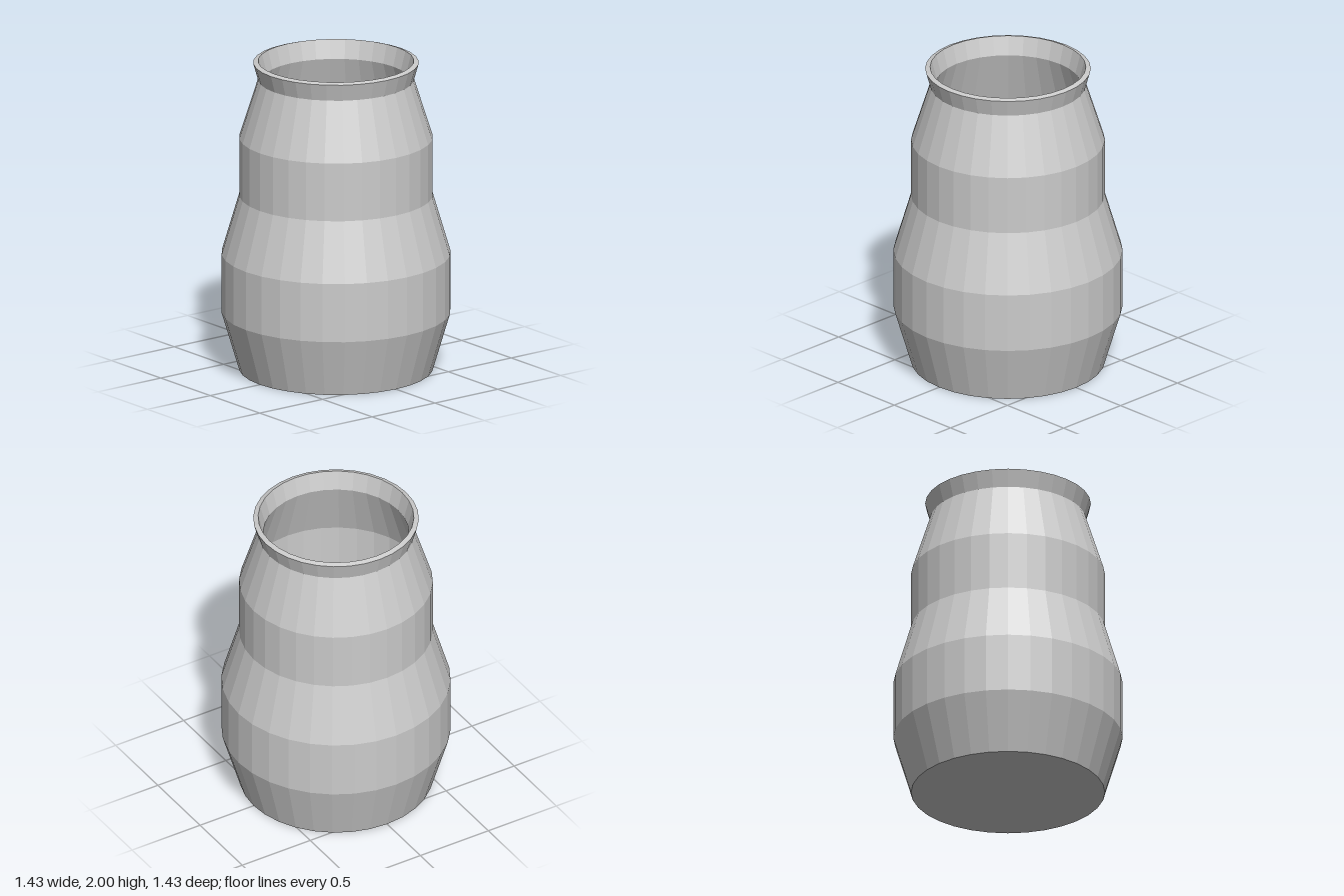
import * as THREE from 'three';

const SIDES = 32;

// Outer wall, from the foot up to the flared lip: [radius, height]
const OUTER = [
  [0.606, 0], [0.717, 0.375], [0.717, 0.753], [0.606, 1.13],
  [0.606, 1.505], [0.487, 1.88], [0.518, 1.99],
];

// Inner wall, from the lip down to the floor
const INNER = [
  [0.487, 2], [0.455, 1.88], [0.575, 1.5], [0.575, 1.125],
  [0.686, 0.748], [0.686, 0.379], [0.582, 0.03],
];

export function createModel() {
  const group = new THREE.Group();
  group.name = 'vase';

  const material = new THREE.MeshStandardMaterial({ color: 0xcccccc, flatShading: true });

  // One closed profile: base, outer wall, rim, inner wall, floor
  const profile = [[0, 0], ...OUTER, ...INNER, [0, 0.03]]
    .map(([r, y]) => new THREE.Vector2(r, y));

  const body = new THREE.Mesh(new THREE.LatheGeometry(profile, SIDES), material);
  body.name = 'vaseBody';
  group.add(body);

  return group;
}
